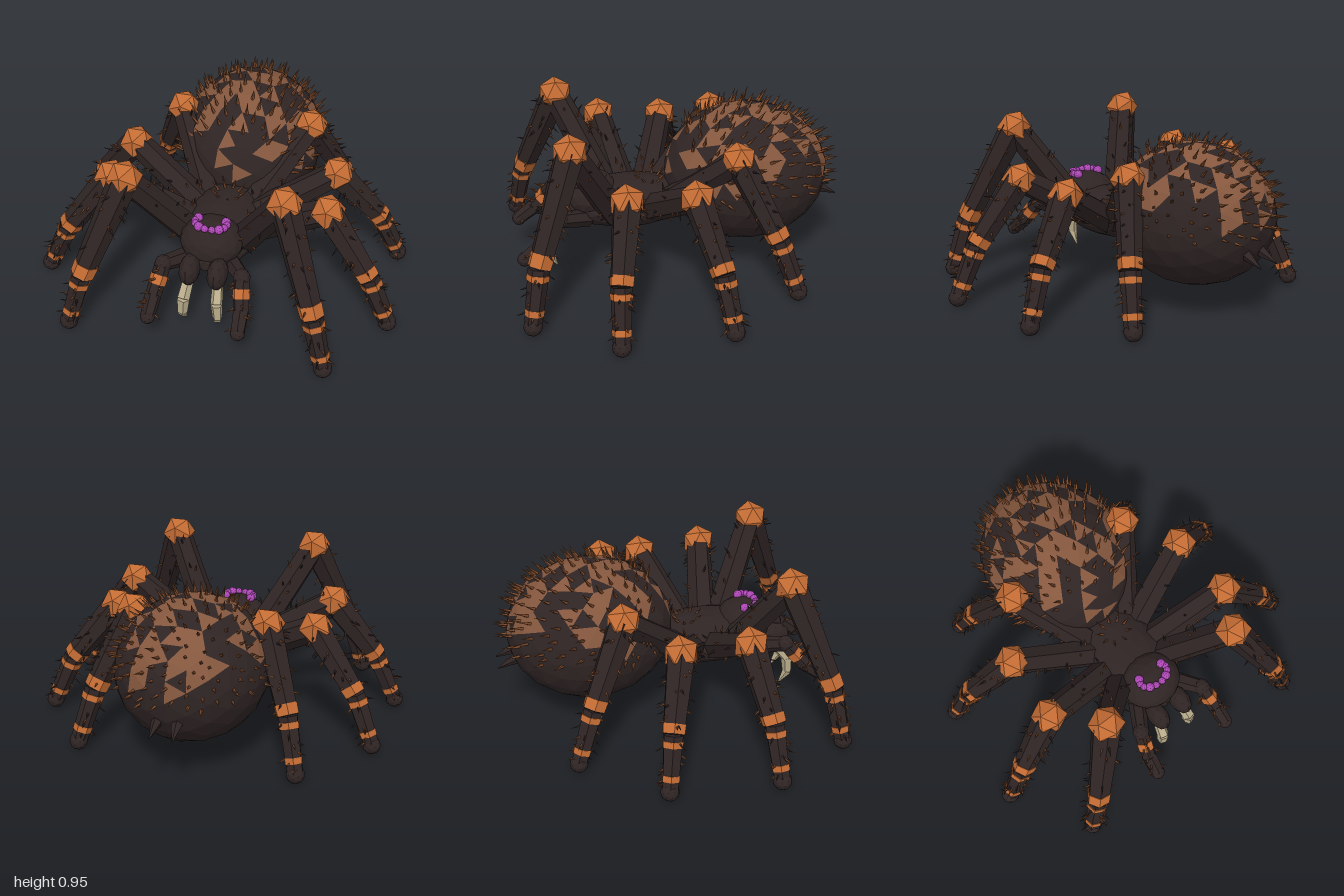
import * as THREE from 'three';
import { mergeGeometries } from 'three/addons/utils/BufferGeometryUtils.js';

const V = (x, y, z) => new THREE.Vector3(x, y, z);
const UP = V(0, 1, 0);

function seeded(seed) {
  let s = seed;
  return () => (s = (s * 16807) % 2147483647) / 2147483647;
}

export function createModel() {
  const rnd = seeded(4711);
  const mat = (name, color) =>
    new THREE.MeshStandardMaterial({ name, color, flatShading: true });
  const dark = mat('darkBody', 0x2f2424);
  const brown = mat('brownPatch', 0x85573e);
  const orange = mat('orangeJoint', 0xc46c34);
  const rust = mat('rustBristle', 0x774628);
  const purple = mat('purpleEye', 0xb048b8);
  const ivory = mat('ivoryFang', 0xb9ac8b);

  const spider = new THREE.Group();
  spider.name = 'spider';
  const add = (parent, name, geo, material) => {
    const m = new THREE.Mesh(geo, material);
    m.name = name;
    parent.add(m);
    return m;
  };

  // Tapered segment from a to b
  const limb = (a, b, ra, rb, sides = 6) => {
    const d = b.clone().sub(a);
    const g = new THREE.CylinderGeometry(rb, ra, d.length(), sides);
    g.applyQuaternion(new THREE.Quaternion().setFromUnitVectors(UP, d.normalize()));
    const c = a.clone().add(b).multiplyScalar(0.5);
    return g.translate(c.x, c.y, c.z);
  };
  const spike = (base, dir, len, r) =>
    limb(base, base.clone().addScaledVector(dir, len), r, 0.0005, 4);
  const ball = (c, rx, ry, rz, detail) =>
    new THREE.IcosahedronGeometry(1, detail).scale(rx, ry, rz).translate(c.x, c.y, c.z);

  // Bristles scattered around a segment, leaning toward its end
  const bristles = (a, b, ra, rb, count) => {
    const out = [];
    const axis = b.clone().sub(a).normalize();
    const side = V(0, 0, 1).cross(axis).normalize();
    for (let i = 0; i < count; i++) {
      const t = 0.08 + 0.86 * (i + rnd()) / count;
      const n = side.clone().applyAxisAngle(axis, rnd() * Math.PI * 2);
      const base = a.clone().lerp(b, t).addScaledVector(n, (ra + (rb - ra) * t) * 0.88);
      out.push(spike(base, n.addScaledVector(axis, 0.5).normalize(), 0.03 + 0.025 * rnd(), 0.007));
    }
    return out;
  };

  // Abdomen: faceted egg whose upper facets are randomly brown
  const ac = V(0, 0.52, -0.395), ar = V(0.405, 0.38, 0.455);
  const egg = ball(ac, ar.x, ar.y, ar.z, 3);
  const p = egg.attributes.position;
  const faces = [[], []];
  for (let i = 0; i < p.count; i += 3) {
    const cy = (p.getY(i) + p.getY(i + 1) + p.getY(i + 2)) / 3;
    const h = (cy - ac.y) / ar.y;
    const patch = h > 0.12 && rnd() < (h > 0.35 ? 0.5 : 0.25) ? 1 : 0;
    for (let k = 0; k < 3; k++) faces[patch].push(p.getX(i + k), p.getY(i + k), p.getZ(i + k));
  }
  faces.forEach((f, i) => {
    const g = new THREE.BufferGeometry();
    g.setAttribute('position', new THREE.Float32BufferAttribute(f, 3));
    g.computeVertexNormals();
    add(spider, i ? 'abdomenPatches' : 'abdomen', g, i ? brown : dark);
  });

  // Abdomen bristles, evenly spread and swept backward
  const hairs = [];
  for (let i = 0; i < 400; i++) {
    const y = 1 - (2 * (i + 0.5)) / 400;
    if (y < -0.12) break;
    const a = i * 2.39996 + rnd() * 0.2, q = Math.sqrt(1 - y * y);
    const n = V(q * Math.cos(a), y, q * Math.sin(a));
    if (n.z > 0.75) continue;
    const base = n.clone().multiply(ar).multiplyScalar(0.97).add(ac);
    const dir = n.add(V(0, 0.15, -0.6)).normalize();
    hairs.push(spike(base, dir, 0.06 + 0.035 * rnd(), 0.011));
  }
  add(spider, 'abdomenBristles', mergeGeometries(hairs), rust);

  // Spinnerets
  for (const s of [1, -1])
    add(spider, 'spinneret', limb(V(s * 0.05, 0.41, -0.78), V(s * 0.06, 0.35, -0.91), 0.04, 0.003, 5), dark);

  // Thorax, head and the tuft between them
  add(spider, 'thorax', ball(V(0, 0.39, 0.26), 0.21, 0.135, 0.37, 2), dark);
  add(spider, 'head', ball(V(0, 0.45, 0.47), 0.17, 0.13, 0.15, 2), dark);
  const tuft = [];
  for (let i = 0; i < 9; i++) {
    const a = (i / 9) * Math.PI * 2;
    tuft.push(spike(V(0.06 * Math.cos(a), 0.5, 0.14 + 0.05 * Math.sin(a)),
      V(0.7 * Math.cos(a), 0.7, 0.7 * Math.sin(a)).normalize(), 0.07, 0.009));
  }
  add(spider, 'thoraxTuft', mergeGeometries(tuft), rust);

  // Eyes in a horseshoe on top of the head
  for (let i = 0; i < 10; i++) {
    const a = -0.5 + (i / 9) * (Math.PI + 1);
    const r = i % 3 ? 0.02 : 0.025;
    add(spider, 'eye', ball(V(0.085 * Math.cos(a), 0.575, 0.485 + 0.055 * Math.sin(a)), r, r, r, 1), purple);
  }

  // Legs: hip, knee, ankle, foot on the +x side
  const legs = [
    ['frontLeg', V(0.13, 0.38, 0.36), V(0.41, 0.88, 0.61), V(0.61, 0.35, 0.805), V(0.685, 0.06, 0.855)],
    ['secondLeg', V(0.13, 0.39, 0.27), V(0.585, 0.665, 0.35), V(0.83, 0.33, 0.42), V(0.95, 0.06, 0.44)],
    ['thirdLeg', V(0.13, 0.39, 0.15), V(0.565, 0.645, -0.01), V(0.81, 0.33, -0.1), V(0.92, 0.06, -0.14)],
    ['backLeg', V(0.12, 0.4, 0.08), V(0.365, 0.745, -0.27), V(0.53, 0.34, -0.46), V(0.6, 0.06, -0.555)],
  ];
  for (const s of [1, -1]) {
    const sideName = s > 0 ? 'left' : 'right';
    for (const [name, ...pts] of legs) {
      const [hip, knee, ankle, foot] = pts.map((v) => V(v.x * s, v.y, v.z));
      const leg = new THREE.Group();
      leg.name = `${sideName} ${name}`;
      spider.add(leg);
      add(leg, 'thigh', limb(hip, knee, 0.08, 0.07), dark);
      add(leg, 'knee', ball(knee, 0.097, 0.097, 0.097, 0), orange);
      add(leg, 'shin', limb(knee, ankle, 0.08, 0.06), dark);
      add(leg, 'shank', limb(ankle, foot, 0.056, 0.045), dark);
      add(leg, 'foot', ball(foot, 0.05, 0.05, 0.05, 1), dark);

      // Orange cuffs above and below the ankle, and a thin one near the foot
      const on = (a, b, t) => a.clone().lerp(b, t);
      add(leg, 'upperCuff', limb(on(knee, ankle, 0.87), on(knee, ankle, 0.99), 0.067, 0.064), orange);
      add(leg, 'lowerCuff', limb(on(ankle, foot, 0.1), on(ankle, foot, 0.21), 0.06, 0.058), orange);
      add(leg, 'footCuff', limb(on(ankle, foot, 0.7), on(ankle, foot, 0.81), 0.052, 0.05), orange);

      const hair = [
        ...bristles(hip, knee, 0.08, 0.07, 16),
        ...bristles(knee, ankle, 0.08, 0.06, 24),
        ...bristles(ankle, foot, 0.056, 0.045, 16),
      ];
      const half = [[], []];
      hair.forEach((h, i) => half[i % 2].push(h));
      add(leg, 'darkBristles', mergeGeometries(half[0]), dark);
      add(leg, 'rustBristles', mergeGeometries(half[1]), rust);
    }

    // Feeler
    const f = [V(s * 0.11, 0.35, 0.5), V(s * 0.21, 0.4, 0.66), V(s * 0.235, 0.27, 0.77), V(s * 0.24, 0.2, 0.86)];
    const feeler = new THREE.Group();
    feeler.name = `${sideName} feeler`;
    spider.add(feeler);
    add(feeler, 'feelerBase', limb(f[0], f[1], 0.05, 0.042), dark);
    add(feeler, 'feelerKnee', ball(f[1], 0.046, 0.046, 0.046, 1), dark);
    add(feeler, 'feelerMiddle', limb(f[1], f[2], 0.043, 0.042), dark);
    add(feeler, 'feelerCuff', limb(f[1].clone().lerp(f[2], 0.35), f[1].clone().lerp(f[2], 0.65), 0.047, 0.047), orange);
    add(feeler, 'feelerEnd', limb(f[2], f[3], 0.044, 0.038), dark);
    add(feeler, 'feelerTip', ball(f[3], 0.04, 0.04, 0.04, 1), dark);
    add(feeler, 'feelerBristles', mergeGeometries(bristles(f[1], f[3], 0.044, 0.04, 14)), rust);

    // Jaw and curved fang
    add(spider, `${sideName} jaw`, ball(V(s * 0.075, 0.37, 0.635), 0.055, 0.085, 0.09, 1), dark);
    const c = [V(s * 0.08, 0.31, 0.65), V(s * 0.09, 0.23, 0.715), V(s * 0.095, 0.14, 0.72), V(s * 0.09, 0.065, 0.675)];
    const r = [0.03, 0.034, 0.027, 0.004];
    for (let i = 0; i < 3; i++)
      add(spider, `${sideName} fang`, limb(c[i], c[i + 1], r[i], r[i + 1], 5), ivory);
  }
  return spider;
}
